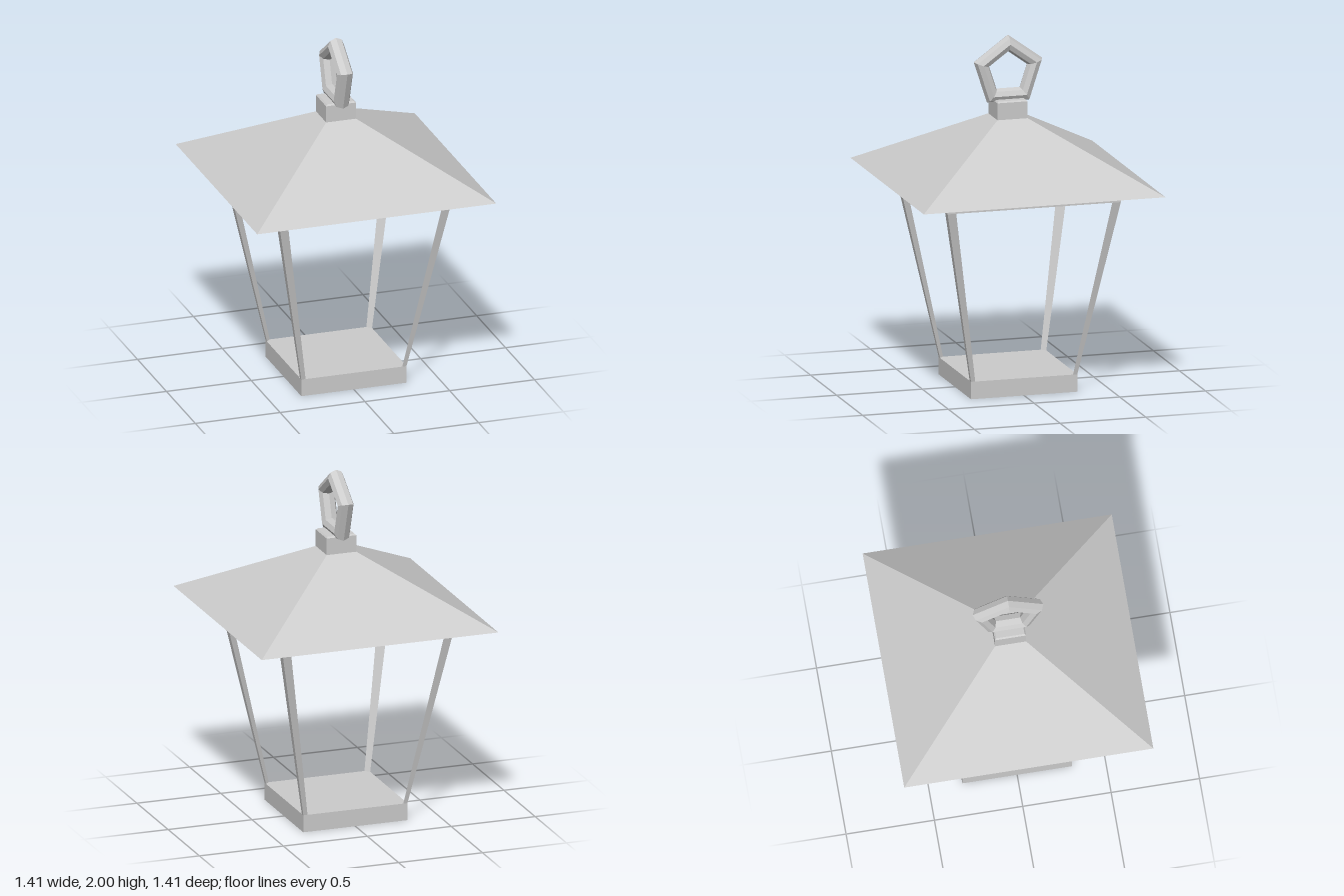
import * as THREE from 'three';

const material = new THREE.MeshStandardMaterial({ color: 0xcccccc, flatShading: true });

// Closed solid lofted between counter-clockwise (seen from above) rings of [x, z] at given heights
function loft(levels) {
  const n = levels[0].ring.length;
  const positions = [];
  const index = [];
  for (const { y, ring } of levels) for (const [x, z] of ring) positions.push(x, y, z);
  for (let l = 0; l < levels.length - 1; l++) {
    for (let i = 0; i < n; i++) {
      const a = l * n + i, b = l * n + (i + 1) % n;
      index.push(a, b, b + n, a, b + n, a + n);
    }
  }
  const top = (levels.length - 1) * n;
  for (let i = 1; i < n - 1; i++) {
    index.push(0, i + 1, i);
    index.push(top, top + i, top + i + 1);
  }
  const geometry = new THREE.BufferGeometry();
  geometry.setAttribute('position', new THREE.Float32BufferAttribute(positions, 3));
  geometry.setIndex(index);
  const flat = geometry.toNonIndexed();
  flat.computeVertexNormals();
  return flat;
}

const square = (h) => [[-h, h], [h, h], [h, -h], [-h, -h]];
// Triangular corner section: two outer faces and one diagonal inner face
const corner = (h, w) => [[h, h], [h, h - w], [h - w, h]];

export function createModel() {
  const group = new THREE.Group();
  const add = (name, geometry) => {
    const mesh = new THREE.Mesh(geometry, material);
    mesh.name = name;
    group.add(mesh);
    return mesh;
  };

  // Base plate and the slab under the roof
  add('base', new THREE.BoxGeometry(0.62, 0.1, 0.62)).position.y = 0.05;
  add('topFrame', new THREE.BoxGeometry(1.01, 0.06, 1.01)).position.y = 1.15;

  // Four flaring corner posts, widening towards the top
  const postGeometry = loft([
    { y: 0.1, ring: corner(0.31, 0.025) },
    { y: 1.12, ring: corner(0.505, 0.05) },
  ]);
  for (let i = 0; i < 4; i++) {
    add('cornerPost' + (i + 1), postGeometry).rotation.y = i * Math.PI / 2;
  }

  // Truncated pyramid roof
  add('roof', loft([
    { y: 1.18, ring: square(0.705) },
    { y: 1.535, ring: square(0.088) },
  ]));

  // Neck block with a small chamfer on its top edge
  add('neck', loft([
    { y: 1.53, ring: square(0.088) },
    { y: 1.632, ring: square(0.088) },
    { y: 1.64, ring: square(0.08) },
  ]));

  // Five-sided hanging ring, point upward
  const ringGeometry = new THREE.TorusGeometry(0.163, 0.047, 8, 5);
  ringGeometry.rotateZ(Math.PI / 2).rotateY(Math.PI / 2);
  add('hangingRing', ringGeometry).position.y = 1.79;

  return group;
}
